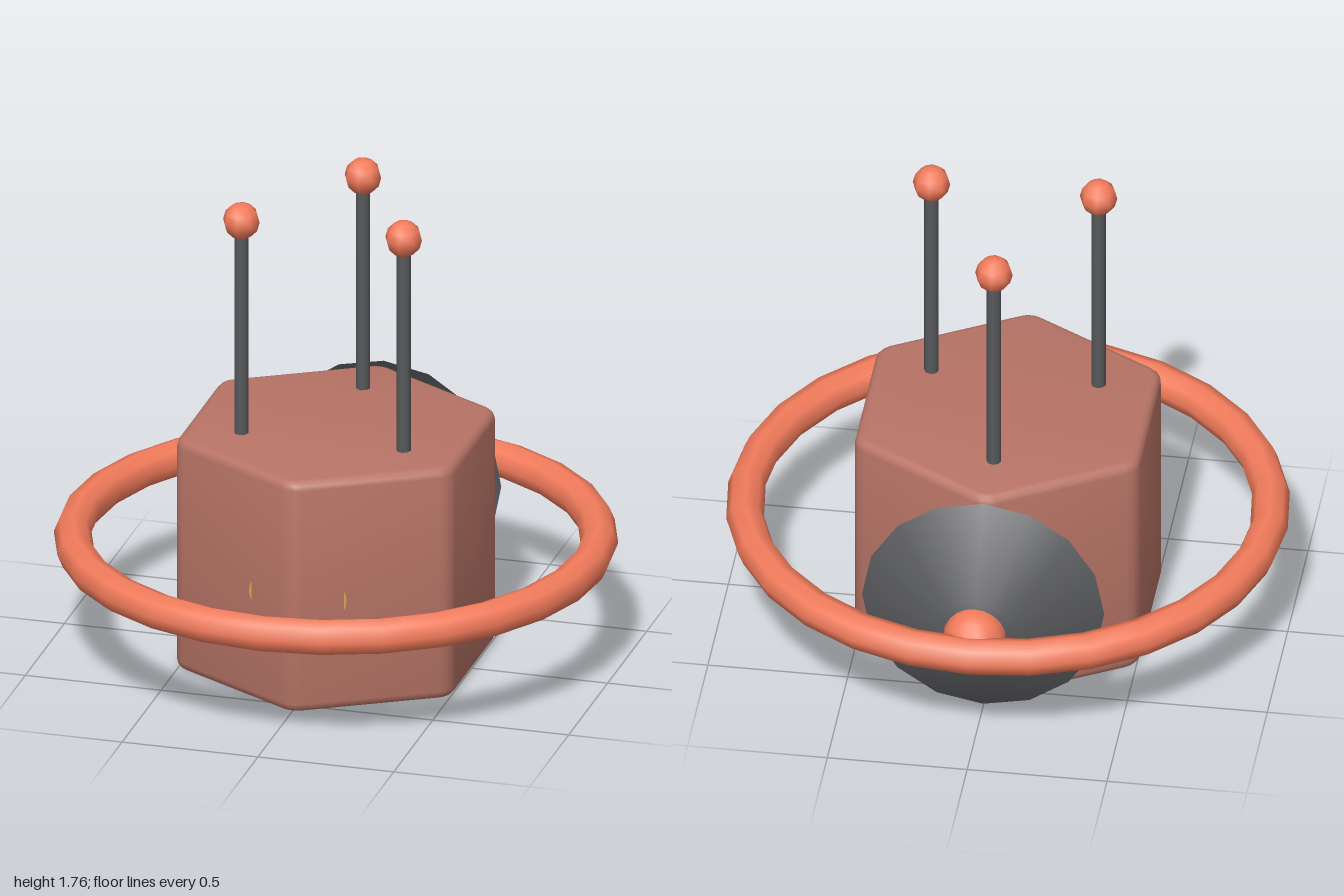
import * as THREE from 'three';
import { toCreasedNormals } from 'three/addons/utils/BufferGeometryUtils.js';

const MID = 0.445; // height of ring and dish centres

export function createModel() {
  const model = new THREE.Group();
  const coral = new THREE.MeshStandardMaterial({ color: 0xf47c5c });
  const clay = new THREE.MeshStandardMaterial({ color: 0xb87466 });
  const grey = new THREE.MeshStandardMaterial({ color: 0x58595c });
  const greyThin = new THREE.MeshStandardMaterial({ color: 0x58595c, side: THREE.DoubleSide });
  const amber = new THREE.MeshStandardMaterial({ color: 0xd9a050 });

  function add(name, geometry, material, x = 0, y = 0, z = 0, parent = model) {
    const mesh = new THREE.Mesh(geometry, material);
    mesh.name = name;
    mesh.position.set(x, y, z);
    parent.add(mesh);
    return mesh;
  }

  // Hexagonal body with softened corners, points towards front and back
  const corners = [];
  for (let i = 0; i < 6; i++) {
    const a = Math.PI / 2 + (i * Math.PI) / 3;
    corners.push(new THREE.Vector2(Math.cos(a), Math.sin(a)).multiplyScalar(0.554));
  }
  const outline = new THREE.Shape();
  corners.forEach((c, i) => {
    const before = c.clone().lerp(corners[(i + 5) % 6], 0.055);
    const after = c.clone().lerp(corners[(i + 1) % 6], 0.055);
    if (i === 0) outline.moveTo(before.x, before.y);
    else outline.lineTo(before.x, before.y);
    outline.quadraticCurveTo(c.x, c.y, after.x, after.y);
  });
  outline.closePath();
  const bodyGeometry = new THREE.ExtrudeGeometry(outline, {
    depth: 0.816, bevelEnabled: true, bevelSize: 0.03, bevelThickness: 0.032, bevelSegments: 3, curveSegments: 3,
  });
  bodyGeometry.rotateX(-Math.PI / 2);
  add('body', toCreasedNormals(bodyGeometry, 0.7), clay, 0, 0.032, 0);

  // Ring around the body
  const ringGeometry = new THREE.TorusGeometry(0.933, 0.067, 8, 28);
  ringGeometry.rotateX(Math.PI / 2);
  add('ring', ringGeometry, coral, 0, MID, 0);

  // Three antennas on the top
  const rod = new THREE.CylinderGeometry(0.026, 0.026, 0.81, 8);
  const tip = new THREE.SphereGeometry(0.067, 8, 6);
  for (let i = 0; i < 3; i++) {
    const a = Math.PI / 6 + (i * Math.PI * 2) / 3;
    const antenna = new THREE.Group();
    antenna.name = 'antenna' + (i + 1);
    antenna.position.set(Math.cos(a) * 0.345, 0, Math.sin(a) * 0.345);
    add('antennaRod', rod, grey, 0, 1.255, 0, antenna);
    add('antennaTip', tip, coral, 0, 1.69, 0, antenna);
    model.add(antenna);
  }

  // Dish on the back, open towards the body
  const dishProfile = [[0.433, 0], [0.145, 0.195], [0, 0.195]].map(([r, h]) => new THREE.Vector2(r, h));
  const dishGeometry = new THREE.LatheGeometry(dishProfile, 16);
  dishGeometry.rotateX(-Math.PI / 2);
  add('dish', dishGeometry, greyThin, 0, MID, -0.61);
  add('dishKnob', new THREE.SphereGeometry(0.113, 14, 10), coral, 0, MID, -0.815);

  // Eyes sunk into the front, only their outer rims break the surface
  const eye = new THREE.CylinderGeometry(0.08, 0.08, 0.06, 20);
  eye.rotateX(Math.PI / 2);
  for (const side of [1, -1]) {
    add(side > 0 ? 'leftEye' : 'rightEye', eye, amber, side * 0.1, 0.415, 0.46);
  }

  return model;
}
